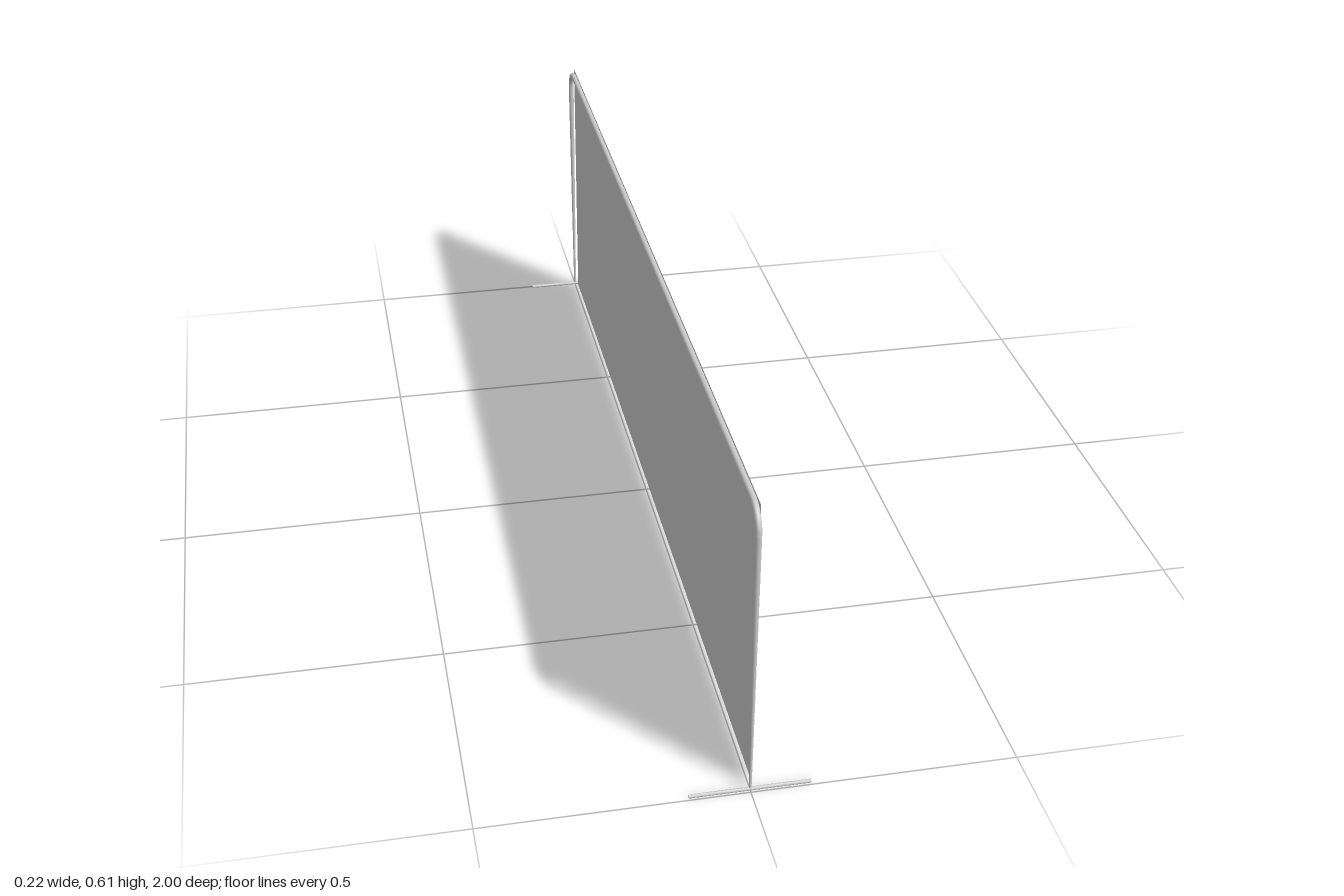
import * as THREE from 'three';

const END_Z = 0.994;    // pole centre line
const TUBE_R = 0.006;   // radius of the top bar
const BAR_Y = 0.599;    // height of the top bar
const BEND = 0.045;     // corner radius
const FOOT_R = 0.0036;

export function createModel() {
  const model = new THREE.Group();
  const metal = new THREE.MeshStandardMaterial({ color: 0xcccccc });
  const cloth = new THREE.MeshStandardMaterial({ color: 0xcccccc, side: THREE.DoubleSide });

  const add = (name, geometry, material, x, y, z) => {
    const mesh = new THREE.Mesh(geometry, material);
    mesh.name = name;
    mesh.position.set(x, y, z);
    model.add(mesh);
    return mesh;
  };

  // Top bar, bent down at both ends
  const path = new THREE.CurvePath();
  const corner = (s) => [
    new THREE.Vector3(0, BAR_Y - BEND, s * END_Z),
    new THREE.Vector3(0, BAR_Y, s * (END_Z - BEND)),
  ];
  const arcPoints = (s) => {
    const points = [];
    for (let i = 0; i <= 8; i++) {
      const a = (i / 8) * Math.PI / 2;
      points.push(new THREE.Vector3(0,
        BAR_Y - BEND + BEND * Math.sin(a), s * (END_Z - BEND + BEND * Math.cos(a))));
    }
    return points;
  };
  const [, frontTop] = corner(1);
  const [, backTop] = corner(-1);
  path.add(new THREE.CatmullRomCurve3(arcPoints(1)));
  path.add(new THREE.LineCurve3(frontTop, backTop));
  path.add(new THREE.CatmullRomCurve3(arcPoints(-1).reverse()));
  add('topBar', new THREE.TubeGeometry(path, 300, TUBE_R, 12), metal, 0, 0, 0);

  // Tapered poles on round feet
  const poleHeight = BAR_Y - BEND - FOOT_R;
  for (const [name, s] of [['front', 1], ['back', -1]]) {
    add(name + 'Pole', new THREE.CylinderGeometry(TUBE_R, 0.0025, poleHeight, 12),
      metal, 0, FOOT_R + poleHeight / 2, s * END_Z);
    add(name + 'Foot', new THREE.CylinderGeometry(FOOT_R, FOOT_R, 0.225, 12),
      metal, 0, FOOT_R, s * END_Z).rotation.z = Math.PI / 2;
  }

  // Flat sheet hung on the +x side of the frame
  add('bannerSheet', new THREE.PlaneGeometry(1.96, 0.6), cloth, TUBE_R, 0.305, 0)
    .rotation.y = Math.PI / 2;

  return model;
}
